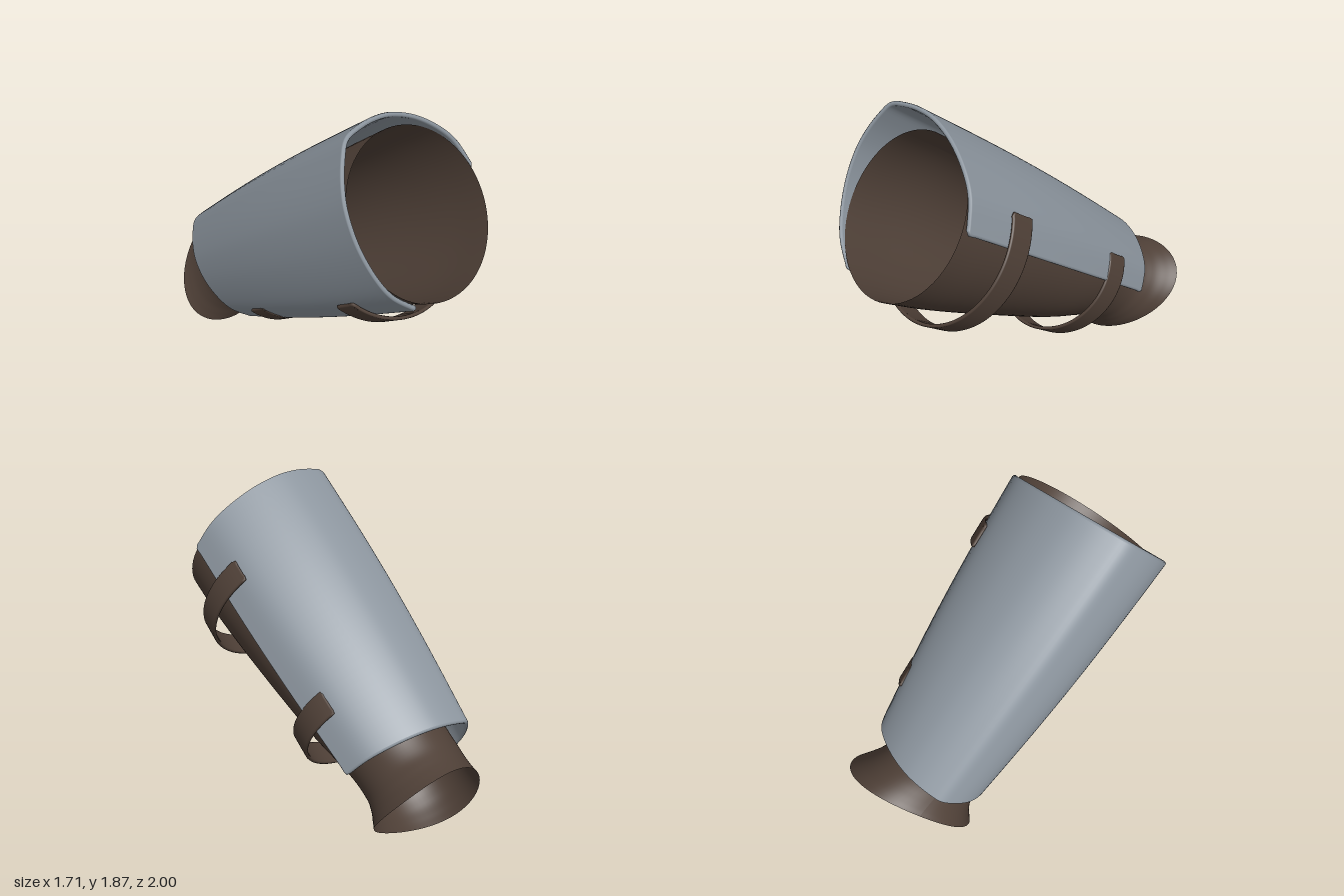
import * as THREE from 'three';

const leather = new THREE.MeshStandardMaterial({ color: 0x4f4037, side: THREE.DoubleSide });
leather.name = 'brown leather';
const steel = new THREE.MeshStandardMaterial({ color: 0x8c959e, side: THREE.DoubleSide });
steel.name = 'grey steel';

// Smooth surface from a rule f(u, v) -> Vector3, with u and v in 0..1
function surface(f, nu, nv, flip = false) {
  const pos = [], idx = [];
  for (let i = 0; i <= nu; i++) {
    for (let j = 0; j <= nv; j++) pos.push(...f(i / nu, j / nv).toArray());
  }
  for (let i = 0; i < nu; i++) {
    for (let j = 0; j < nv; j++) {
      const a = i * (nv + 1) + j, b = a + 1, c = a + nv + 1, d = c + 1;
      if (flip) idx.push(a, b, c, b, d, c);
      else idx.push(a, c, b, b, c, d);
    }
  }
  const g = new THREE.BufferGeometry();
  g.setAttribute('position', new THREE.Float32BufferAttribute(pos, 3));
  g.setIndex(idx);
  g.computeVertexNormals();
  return g;
}

// Curved sheet with thickness: two faces and a rounded border
function sheet(name, f, thickness, nu, nv, material) {
  const group = new THREE.Group();
  group.name = name;
  const e = 1e-3, h = thickness / 2;
  const lo = x => Math.max(0, x - e), hi = x => Math.min(1, x + e);
  const normal = (u, v) => {
    const du = f(hi(u), v).sub(f(lo(u), v));
    const dv = f(u, hi(v)).sub(f(u, lo(v)));
    return du.cross(dv).normalize();
  };
  const face = side => (u, v) => f(u, v).addScaledVector(normal(u, v), side * h);
  const border = [];
  for (let i = 0; i < nu; i++) border.push(f(i / nu, 0));
  for (let j = 0; j < nv; j++) border.push(f(1, j / nv));
  for (let i = nu; i > 0; i--) border.push(f(i / nu, 1));
  for (let j = nv; j > 0; j--) border.push(f(0, j / nv));
  const path = new THREE.CatmullRomCurve3(border, true, 'centripetal');
  const parts = {
    Outside: surface(face(1), nu, nv),
    Inside: surface(face(-1), nu, nv, true),
    Border: new THREE.TubeGeometry(path, border.length * 2, h, 8, true),
  };
  for (const [part, g] of Object.entries(parts)) {
    const mesh = new THREE.Mesh(g, material);
    mesh.name = name + part;
    group.add(mesh);
  }
  return group;
}

// Leather sleeve: oval sections [height, centre x, centre z, half width, half depth], flared foot
function sleeve() {
  const rows = [
    [-1, 0, 0.022, 0.425, 0.305], [-0.95, 0.005, 0.024, 0.382, 0.298], [-0.88, 0.012, 0.03, 0.335, 0.29],
    [-0.78, 0.02, 0.035, 0.3, 0.287], [-0.6, 0.018, 0.03, 0.302, 0.297], [-0.24, 0.01, 0.008, 0.343, 0.348],
    [0.3, 0, -0.006, 0.396, 0.407], [0.7, 0, -0.01, 0.432, 0.446], [0.985, 0, -0.012, 0.454, 0.458],
  ];
  const curve = (a, b) => new THREE.CatmullRomCurve3(
    rows.map(r => new THREE.Vector3(r[0], r[a], r[b])), false, 'catmullrom');
  const centres = curve(1, 2), sizes = curve(3, 4);
  const rule = (u, v) => {
    const c = centres.getPoint(u), s = sizes.getPoint(u), a = v * Math.PI * 2;
    const foot = Math.max(0, (-0.78 - c.x) / 0.22);
    const y = c.x + foot * (0.01 + 0.025 * Math.cos(2 * a));
    return new THREE.Vector3(c.y + s.y * Math.sin(a), y, c.z + s.z * Math.cos(a));
  };
  const mesh = new THREE.Mesh(surface(rule, 48, 72, true), leather);
  mesh.name = 'sleeve';
  return mesh;
}

// Tapered, slightly bulging steel plate with a soft front ridge, open at the back
function plate() {
  const half = [
    [0.09, 0.552], [0.2, 0.492], [0.3, 0.407], [0.395, 0.272], [0.46, 0.11], [0.482, -0.04], [0.449, -0.203],
  ];
  const section = new THREE.SplineCurve([
    ...half.toReversed().map(([x, z]) => new THREE.Vector2(-x, z)),
    new THREE.Vector2(0, 0.58),
    ...half.map(([x, z]) => new THREE.Vector2(x, z)),
  ]);
  return sheet('plate', (u, v) => {
    const p = section.getPoint(v);
    const front = (p.y + 0.203) / 0.783;
    const y = THREE.MathUtils.lerp(-0.685 - 0.055 * front, 0.962 + 0.118 * front, u);
    const k = 0.98 + (y - 0.97) * 0.13 + 0.04 * Math.sin(Math.PI * u);
    return new THREE.Vector3(k * p.x, y, k * p.y);
  }, 0.026, 32, 64, steel);
}

// Strap looping behind the sleeve from one plate edge to the other
function strap(name, y, halfWidth, start, depth) {
  return sheet(name, (u, v) => {
    const a = (u - 0.5) * Math.PI;
    const x = halfWidth * Math.sin(a);
    return new THREE.Vector3(x, y + (v - 0.5) * 0.132, start - depth * Math.cos(a));
  }, 0.02, 48, 4, leather);
}

export function createModel() {
  const guard = new THREE.Group();
  guard.name = 'guard';
  guard.add(
    sleeve(),
    plate(),
    strap('upperStrap', 0.612, 0.484, -0.04, 0.495),
    strap('lowerStrap', -0.335, 0.416, -0.03, 0.375),
  );

  // Lean the whole guard along its diagonal axis
  const axis = new THREE.Vector3(0.508, 0.563, 0.652).normalize();
  const front = new THREE.Vector3(-axis.y, axis.x, 0).normalize();
  const side = new THREE.Vector3().crossVectors(axis, front);
  guard.quaternion.setFromRotationMatrix(new THREE.Matrix4().makeBasis(side, axis, front));
  guard.position.set(-0.0575, 0.845, -0.0275);

  const model = new THREE.Group();
  model.name = 'model';
  model.add(guard);
  return model;
}
